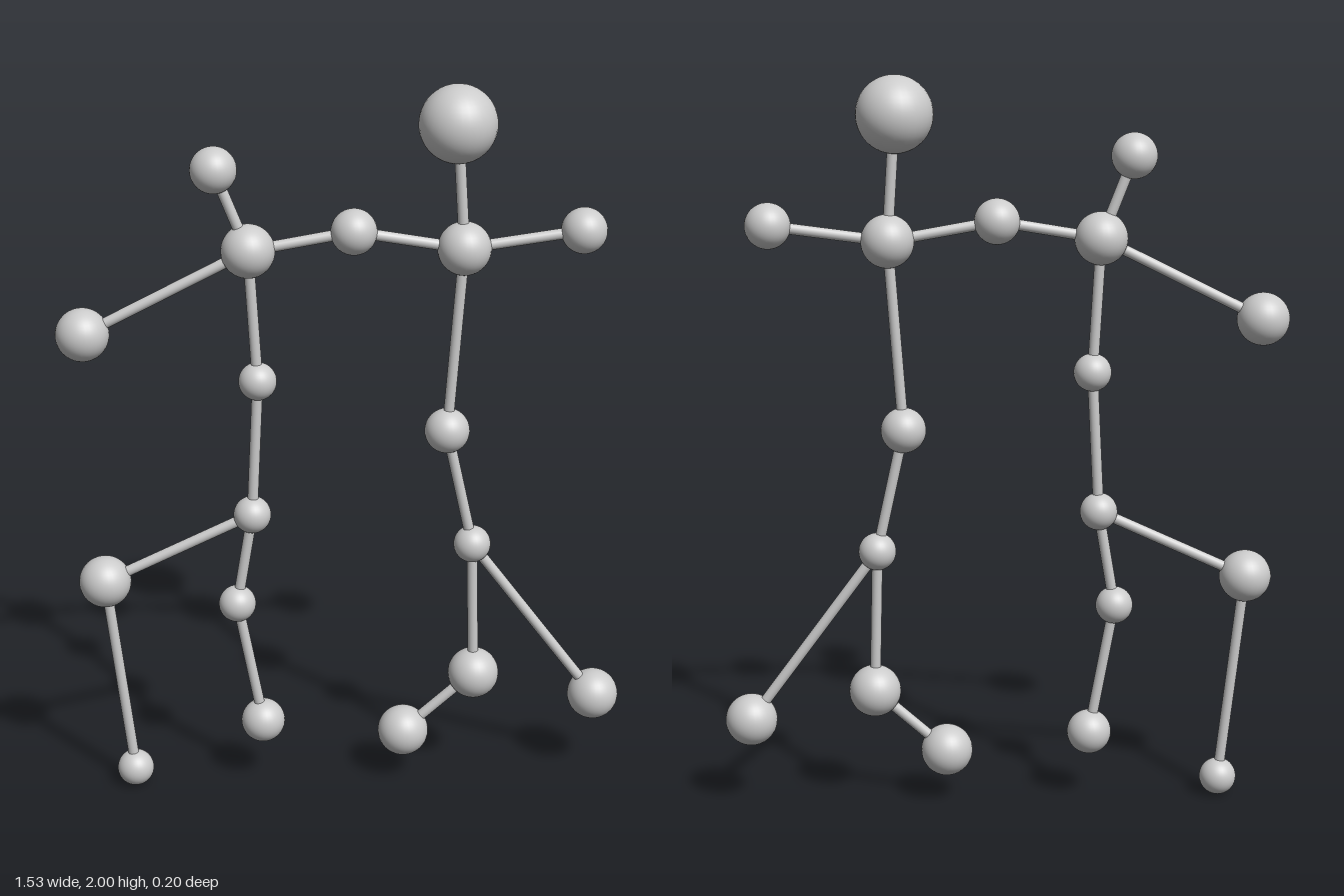
import * as THREE from 'three';

const ROD_RADIUS = 0.0145;

// Ball joints: name -> [x, y, radius], all lying in the plane z = 0
const joints = {
  // left figure
  leftHead: [0.28, 1.898, 0.102],
  leftChest: [0.302, 1.567, 0.071],
  leftHand: [0.614, 1.61, 0.061],
  leftWaist: [0.265, 1.058, 0.061],
  leftHip: [0.339, 0.722, 0.051],
  leftKnee: [0.35, 0.325, 0.071],
  leftInnerFoot: [0.154, 0.148, 0.071],
  leftOuterFoot: [0.69, 0.248, 0.071],
  // joined hands
  joinedHands: [0.014, 1.617, 0.061],
  // right figure
  rightHead: [-0.346, 1.787, 0.061],
  rightChest: [-0.261, 1.57, 0.071],
  rightHand: [-0.697, 1.35, 0.071],
  rightWaist: [-0.241, 1.21, 0.051],
  rightHip: [-0.261, 0.825, 0.051],
  rightOuterKnee: [-0.665, 0.636, 0.071],
  rightOuterFoot: [-0.602, 0.053, 0.051],
  rightInnerKnee: [-0.306, 0.559, 0.051],
  rightInnerFoot: [-0.24, 0.193, 0.061],
};

// Rods: [name, from joint, to joint]
const rods = [
  ['leftNeck', 'leftHead', 'leftChest'],
  ['leftOuterArm', 'leftChest', 'leftHand'],
  ['leftInnerArm', 'leftChest', 'joinedHands'],
  ['leftUpperBody', 'leftChest', 'leftWaist'],
  ['leftLowerBody', 'leftWaist', 'leftHip'],
  ['leftThigh', 'leftHip', 'leftKnee'],
  ['leftShin', 'leftKnee', 'leftInnerFoot'],
  ['leftOuterLeg', 'leftHip', 'leftOuterFoot'],
  ['rightNeck', 'rightHead', 'rightChest'],
  ['rightOuterArm', 'rightChest', 'rightHand'],
  ['rightInnerArm', 'rightChest', 'joinedHands'],
  ['rightUpperBody', 'rightChest', 'rightWaist'],
  ['rightLowerBody', 'rightWaist', 'rightHip'],
  ['rightOuterThigh', 'rightHip', 'rightOuterKnee'],
  ['rightOuterShin', 'rightOuterKnee', 'rightOuterFoot'],
  ['rightInnerThigh', 'rightHip', 'rightInnerKnee'],
  ['rightInnerShin', 'rightInnerKnee', 'rightInnerFoot'],
];

export function createModel() {
  const group = new THREE.Group();
  group.name = 'stickFigurePair';
  const material = new THREE.MeshStandardMaterial({ color: 0xcccccc });

  // Balls
  for (const [name, [x, y, radius]] of Object.entries(joints)) {
    const ball = new THREE.Mesh(new THREE.SphereGeometry(radius, 32, 24), material);
    ball.name = name;
    ball.position.set(x, y, 0);
    group.add(ball);
  }

  // Rods running from ball centre to ball centre
  const up = new THREE.Vector3(0, 1, 0);
  for (const [name, from, to] of rods) {
    const a = new THREE.Vector3(joints[from][0], joints[from][1], 0);
    const b = new THREE.Vector3(joints[to][0], joints[to][1], 0);
    const direction = b.clone().sub(a);
    const rod = new THREE.Mesh(
      new THREE.CylinderGeometry(ROD_RADIUS, ROD_RADIUS, direction.length(), 20),
      material
    );
    rod.name = name;
    rod.position.copy(a).add(b).multiplyScalar(0.5);
    rod.quaternion.setFromUnitVectors(up, direction.normalize());
    group.add(rod);
  }
  return group;
}
